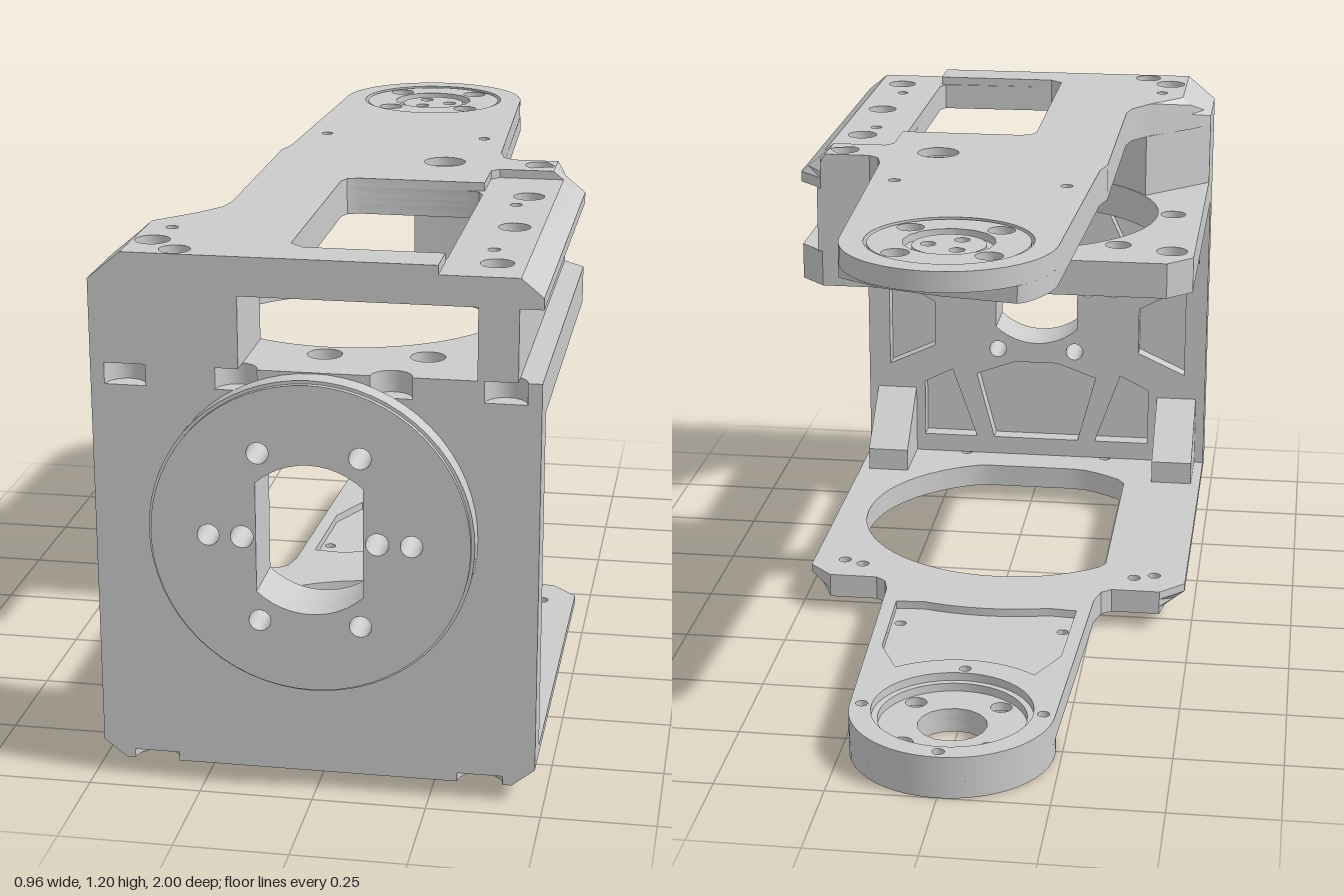
import * as THREE from 'three';
import { toCreasedNormals } from 'three/addons/utils/BufferGeometryUtils.js';

const material = new THREE.MeshStandardMaterial({ color: 0xcccccc });
const HUB_Z = -0.765, HUB_R = 0.235, RING_Z = 0.385, FLANGE_Y = 0.605;

// points on an arc, angles in degrees
function arc(cx, cz, r, a0, a1, n = 24) {
  return Array.from({ length: n + 1 }, (_, i) => {
    const a = THREE.MathUtils.degToRad(a0 + (a1 - a0) * i / n);
    return [cx + r * Math.cos(a), cz + r * Math.sin(a)];
  });
}
const disc = (cx, cz, r, n = 48) => arc(cx, cz, r, 0, 360, n).slice(0, -1);
const mirror = pts => pts.map(([x, z]) => [-x, z]).reverse();
const rect = (x0, z0, x1, z1) => [[x0, z0], [x1, z0], [x1, z1], [x0, z1]];
const circles = (list, r) => list.map(([x, z]) => [x, z, r]);
// centres spread evenly round a pivot
const around = (cz, r, count, start = 0) => arc(0, cz, r, start, start + 360, count).slice(0, -1);

// a hole is either [x, y, radius] or a list of points
function extrude(points, depth, holes, flip) {
  // outline runs anticlockwise and holes clockwise, so that every wall faces outwards
  const toPath = (pts, clockwise) => {
    const path = pts.map(([a, b]) => new THREE.Vector2(a, flip ? -b : b));
    return THREE.ShapeUtils.isClockWise(path) === clockwise ? path : path.reverse();
  };
  const shape = new THREE.Shape(toPath(points, false));
  for (const h of holes) {
    const pts = typeof h[0] === 'number' ? disc(h[0], h[1], h[2], h[2] > 0.1 ? 48 : 16) : h;
    shape.holes.push(new THREE.Path(toPath(pts, true)));
  }
  return new THREE.ExtrudeGeometry(shape, { depth, bevelEnabled: false });
}

export function createModel() {
  const root = new THREE.Group();
  const add = (name, geo) => {
    const mesh = new THREE.Mesh(toCreasedNormals(geo, 0.5), material);
    mesh.name = name;
    root.add(mesh);
  };
  // horizontal slab outlined in x, z; limit(y) narrows it to make edge chamfers
  const slab = (name, pts, y0, y1, holes = [], limit) => {
    const geo = extrude(pts, y1 - y0, holes, true).rotateX(-Math.PI / 2).translate(0, y0, 0);
    if (limit) {
      const p = geo.attributes.position;
      for (let i = 0; i < p.count; i++) {
        const m = limit(p.getY(i));
        p.setX(i, THREE.MathUtils.clamp(p.getX(i), -m, m));
      }
      geo.computeVertexNormals();
    }
    add(name, geo);
  };
  // upright slab outlined in x, y
  const panel = (name, pts, z0, z1, holes = []) =>
    add(name, extrude(pts, z1 - z0, holes, false).translate(0, 0, z0));

  // front edge running from +x to -x, with half-round screw seats
  const frontEdge = (centres, r) => [[0.48, 0.94], ...centres.flatMap(x => arc(x, 0.94, r, 0, -180, 10)), [-0.48, 0.94]];
  const plain = [[0.48, 0.94], [-0.48, 0.94]];
  const shoulder = [[0.48, 0], [0.42, -0.06], [0.3, -0.06], [0.275, -0.08], [0.262, -0.13]];
  const tip = arc(0, HUB_Z, HUB_R, -3, -177, 32);

  // ---------- bottom arm ----------
  const bottomOutline = front => [...front, ...mirror(shoulder).reverse(), ...[...tip].reverse(), ...[...shoulder].reverse()];
  const opening = disc(0, RING_Z, 0.4, 64).map(([x, z]) => [Math.max(x, -0.27), Math.min(z, 0.76)]);
  const plateHoles = circles([[0.4, 0.04], [-0.4, 0.04], [0.35, 0.02], [-0.35, 0.02], [0.4, 0.72], [-0.4, 0.72],
    [0.2, 0.86], [-0.2, 0.86]], 0.016);
  const hubScrews = around(HUB_Z, 0.14, 4, 45);
  const bottomLimit = y => 0.43 + Math.max(0, y - 0.04) * 1.25;
  slab('bottomArmNotchedLayer', bottomOutline(frontEdge([0.36, -0.36], 0.05)), 0.04, 0.06,
    [opening, ...plateHoles, [0, HUB_Z, 0.08], ...circles(hubScrews, 0.025)], bottomLimit);
  slab('bottomArmMiddleLayer', bottomOutline(plain), 0.06, 0.08,
    [opening, ...plateHoles, ...circles([[0.2, -0.285], [-0.2, -0.285]], 0.014), [0, HUB_Z, 0.17]], bottomLimit);
  const cablePocket = [[0.225, -0.2], [0.215, -0.46], ...arc(0, HUB_Z, 0.255, 50, 130, 14), [-0.215, -0.46],
    [-0.225, -0.2], ...arc(0, RING_Z, 0.6, -105, -75, 8)];
  slab('bottomArmTopLayer', bottomOutline(plain), 0.08, 0.1,
    [opening, ...plateHoles, [0, HUB_Z, 0.185], ...circles(around(HUB_Z, 0.208, 4), 0.014), cablePocket], bottomLimit);
  slab('bottomPivotBoss', disc(0, HUB_Z, HUB_R), 0.012, 0.04, [[0, HUB_Z, 0.08], ...circles(hubScrews, 0.032)]);
  slab('bottomPivotRim', disc(0, HUB_Z, HUB_R), 0, 0.012, [[0, HUB_Z, 0.19]]);
  slab('bottomPivotFace', disc(0, HUB_Z, 0.182), 0.002, 0.012, [[0, HUB_Z, 0.08], ...circles(hubScrews, 0.032)]);

  // ---------- front panel and flange ----------
  const turn = THREE.MathUtils.radToDeg(Math.acos(0.115 / 0.168));
  const slot = [...arc(0, FLANGE_Y, 0.168, turn, 180 - turn, 12), ...arc(0, FLANGE_Y, 0.168, 180 + turn, 360 - turn, 12)];
  const boltHoles = [...circles(around(FLANGE_Y, 0.218, 6), 0.024), [0.145, FLANGE_Y, 0.025], [-0.145, FLANGE_Y, 0.025]];
  const panelOutline = rect(-0.48, 0.1, 0.48, 0.87);
  panel('frontPanelSkin', panelOutline, 0.905, 0.94, [slot, ...boltHoles]);
  // lightening pockets on the inner side
  const sidePockets = [
    [[0.17, 0.15], [0.32, 0.15], [0.32, 0.31], [0.24, 0.35]],
    [[0.29, 0.42], [0.42, 0.36], [0.42, 0.62], [0.29, 0.55]],
    [[0.28, 0.66], [0.32, 0.68], [0.32, 0.83], [0.2, 0.83]]];
  const bottomPocket = [[-0.12, 0.15], [0.12, 0.15], [0.17, 0.34], [0.06, 0.38], [-0.06, 0.38], [-0.17, 0.34]];
  panel('frontPanelRibs', panelOutline, 0.86, 0.905,
    [slot, ...boltHoles, bottomPocket, ...sidePockets, ...sidePockets.map(mirror)]);
  panel('flangeBase', disc(0, FLANGE_Y, 0.35, 64), 0.94, 0.988, [slot, ...boltHoles]);
  panel('flangeFace', disc(0, FLANGE_Y, 0.343, 64), 0.988, 1, [slot, ...boltHoles]);

  // gussets bracing the panel to the plates above and below
  const gussets = {
    upperGusset: [[0.86, 0.87], [0.66, 0.87], [0.66, 0.84], [0.86, 0.69]],
    lowerGusset: [[0.86, 0.1], [0.69, 0.1], [0.69, 0.16], [0.86, 0.29]] };
  for (const [name, profile] of Object.entries(gussets))
    for (const side of [1, -1])
      add(name, extrude(profile, 0.11, [], false).rotateY(-Math.PI / 2).translate(side * 0.4 + 0.055, 0, 0));

  // ---------- middle plate ----------
  const middleOutline = front => [...front, [-0.48, 0], [-0.42, -0.06], [0.42, -0.06], [0.48, 0]];
  const ring = [0, RING_Z, 0.367];
  const seatBolts = [[-0.425, 0.05], [-0.405, 0.83], [-0.3, 0.86], [0, 0.805], [0.22, 0.79]];
  const ringBolts = [[-0.406, 0.39], [-0.29, 0.09], [0.29, 0.05]];
  const railHoles = circles([[0.37, 0.23], [0.37, 0.52]], 0.018);
  slab('middlePlate', middleOutline(plain), 0.87, 0.91,
    [ring, ...circles([...seatBolts, ...ringBolts], 0.02), ...railHoles]);
  slab('middlePlateTop', middleOutline(frontEdge([0.405, 0.165, -0.165, -0.405], 0.045)), 0.91, 0.957,
    [ring, ...circles([seatBolts[0], ...seatBolts.slice(3)], 0.038), ...circles(ringBolts, 0.032), ...railHoles]);

  // ---------- spacers between middle and top plates ----------
  slab('spacerRail', [[0.345, 0.94], [0.43, 0.94], [0.43, -0.06], [0.08, -0.06], [0.08, 0.08], [0.31, 0.08],
    ...arc(0.31, 0.115, 0.035, -70, 0, 6)], 0.957, 1.115, railHoles);
  slab('cornerSpacer', [[-0.16, 0.94], [-0.48, 0.94], [-0.48, 0.73], [-0.4, 0.65], [-0.33, 0.58],
    ...arc(0, RING_Z, 0.37, 150, 115.6, 12)], 0.957, 1.115);

  // ---------- top arm ----------
  const leftEdge = [[-0.275, -0.08], [-0.275, 0.47], [-0.285, 0.52], [-0.33, 0.585], [-0.43, 0.67], [-0.48, 0.73]];
  const topOutline = (end, right) => [...right, ...end, [-0.262, -0.13], ...leftEdge, [-0.48, 0.94]];
  const fullRight = [[0.48, 0.94], ...shoulder];
  const window = [[-0.07, 0.23], [-0.06, 0.206], [-0.035, 0.195], [0.22, 0.195], [0.25, 0.205], [0.262, 0.23],
    [0.262, 0.81], [0.25, 0.835], [-0.04, 0.84], [-0.07, 0.81]];
  // the surface layer stops short of the rail, so the window becomes part of its outline
  const surfaceRight = [[0.262, 0.94], [0.262, 0.84], [-0.04, 0.84], [-0.07, 0.81], [-0.07, 0.23], [-0.06, 0.206],
    [-0.035, 0.195], [0.262, 0.195], [0.262, 0.07], [0.28, 0.05], [0.48, 0.05], ...shoulder];
  const topBolts = [[0.14, -0.01], [0.37, -0.01], [0.37, 0.23], [0.37, 0.52], [0.37, 0.83]];
  const topPins = circles([[-0.2, -0.285], [0.2, -0.285], [-0.35, 0.72]], 0.014);
  const railPins = circles([[0.35, 0.315], [0.35, 0.72]], 0.014);
  const topLimit = y => 0.48 - Math.max(0, y - 1.14) * 1.2;
  const hub = [0, HUB_Z, 0.1];

  const cutEnd = [[0.235, -0.79], [0.13, -0.855], [0, -0.895], [-0.165, -0.925],
    ...arc(0, HUB_Z, HUB_R, -140, -177, 8)];
  for (const [y0, y1] of [[1.115, 1.14], [1.14, 1.155]])
    slab('topArmUnderside', topOutline(cutEnd, fullRight), y0, y1,
      [window, ...topPins, ...railPins, hub, ...circles(topBolts, 0.018)], topLimit);
  slab('topArmCore', topOutline(tip, fullRight), 1.155, 1.18,
    [window, ...topPins, ...railPins, hub, ...circles(topBolts, 0.036)], topLimit);
  slab('topArmSurface', topOutline(tip, surfaceRight), 1.18, 1.2,
    [...topPins, [0, HUB_Z, 0.182], [0.14, -0.01, 0.05], [0.37, -0.01, 0.036], [-0.365, 0.83, 0.038], [-0.3, 0.9, 0.034]],
    topLimit);
  // pivot cap: screw ring around a sunken disc with three holes
  slab('topPivotRing', disc(0, HUB_Z, 0.175), 1.18, 1.197, [hub, ...circles(hubScrews, 0.03)]);
  const capHoles = circles(around(HUB_Z, 0.045, 3), 0.017);
  slab('topPivotCap', disc(0, HUB_Z, 0.1), 1.15, 1.18, capHoles);
  slab('topPivotCapCentre', disc(0, HUB_Z, 0.08), 1.18, 1.19, capHoles);

  return root;
}
